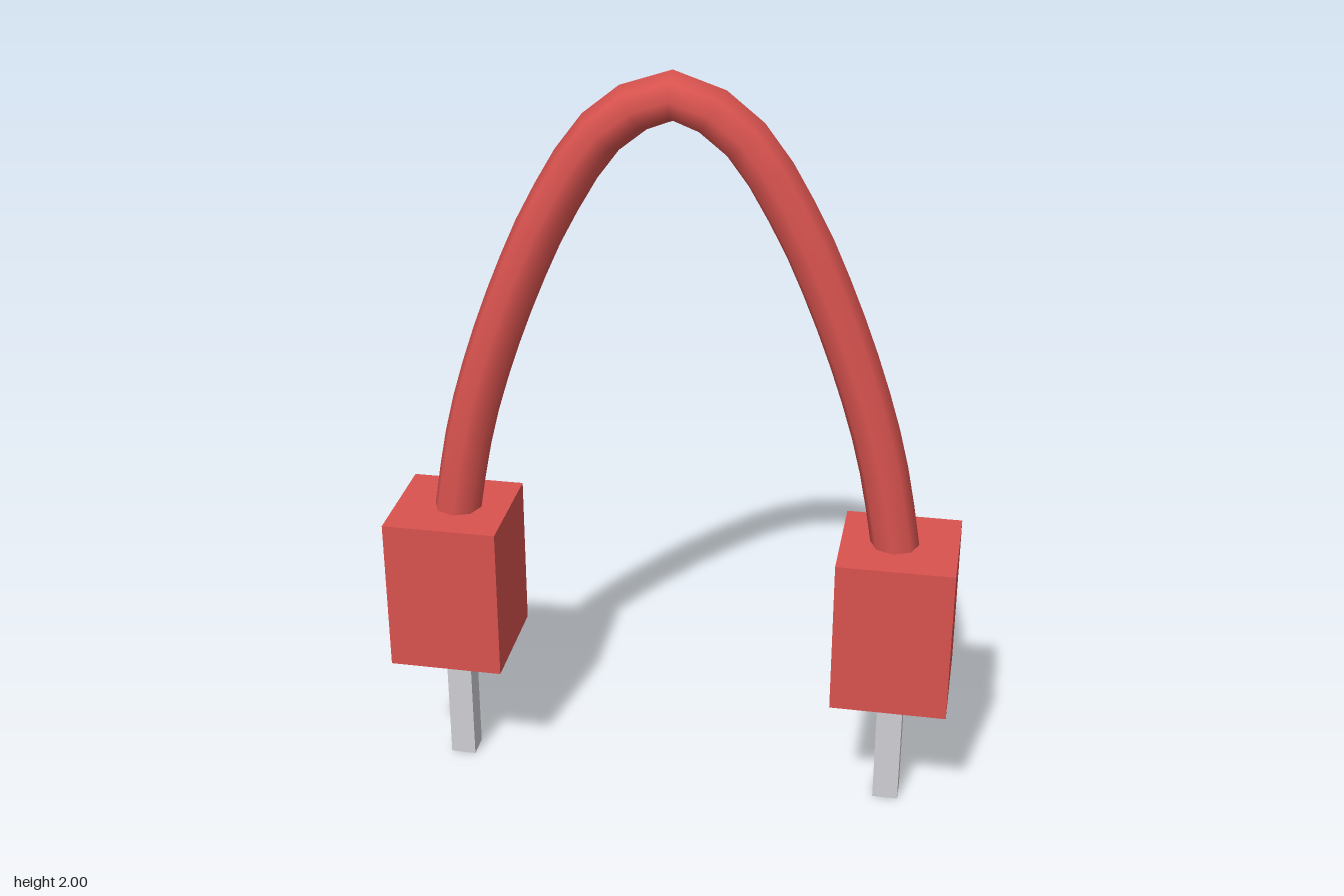
import * as THREE from 'three';

const RED = new THREE.MeshStandardMaterial({ color: 0xd9534f });
RED.name = 'red plastic';
const METAL = new THREE.MeshStandardMaterial({ color: 0xcfd0d4 });
METAL.name = 'pin metal';

const SPREAD = 0.597; // distance of each plug from the middle

function addBox(parent, name, width, bottom, top, material) {
  const mesh = new THREE.Mesh(new THREE.BoxGeometry(width, top - bottom, width), material);
  mesh.position.y = (bottom + top) / 2;
  mesh.name = name;
  parent.add(mesh);
}

// Plug housing with a square metal pin below it
function makePlug(side) {
  const plug = new THREE.Group();
  plug.name = side > 0 ? 'leftPlug' : 'rightPlug';
  addBox(plug, 'housing', 0.304, 0.355, 0.78, RED);
  addBox(plug, 'pin', 0.068, 0, 0.36, METAL);
  plug.position.x = side * SPREAD;
  return plug;
}

// Arched wire: half of the centre line, mirrored about the middle
function makeWire() {
  const half = [[0.6, 0.68], [0.546, 0.985], [0.496, 1.17], [0.41, 1.41], [0.3, 1.65], [0.16, 1.855]];
  const left = half.map(([x, y]) => new THREE.Vector3(-x, y, 0));
  const right = half.map(([x, y]) => new THREE.Vector3(x, y, 0)).reverse();
  const path = new THREE.CatmullRomCurve3([...left, new THREE.Vector3(0, 1.9375, 0), ...right]);
  const wire = new THREE.Mesh(new THREE.TubeGeometry(path, 28, 0.0625, 8, false), RED);
  wire.name = 'wire';
  return wire;
}

export function createModel() {
  const model = new THREE.Group();
  model.name = 'jumperWire';
  model.add(makeWire(), makePlug(-1), makePlug(1));
  return model;
}
